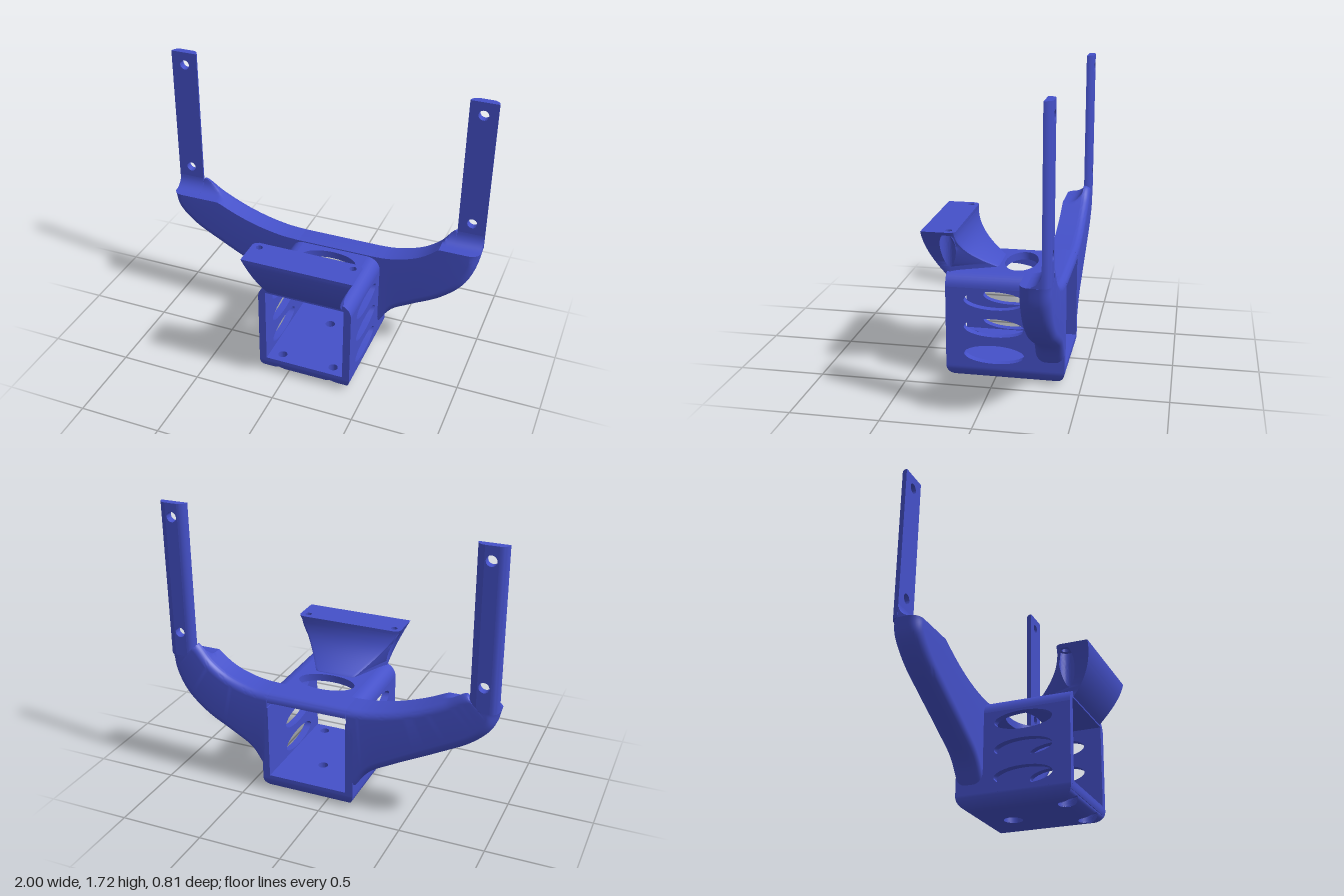
import * as THREE from 'three';
import { toCreasedNormals } from 'three/addons/utils/BufferGeometryUtils.js';

const V2 = (x, y) => new THREE.Vector2(x, y);
const V3 = (x, y, z) => new THREE.Vector3(x, y, z);
const CX = 0.115; // centre line of the box, slightly off the centre of the arms
const HALF = 0.29, BACK = -0.405, FRONT = 0.28;

const arc = (cx, cy, r, a0, a1, n = 8) => Array.from({ length: n + 1 }, (_, i) => {
  const a = a0 + (a1 - a0) * i / n;
  return V2(cx + r * Math.cos(a), cy + r * Math.sin(a));
});
const circle = (x, y, r) => arc(x, y, r, 0, Math.PI * 2, 28).slice(0, -1);
const range = (a, b, n) => Array.from({ length: n + 1 }, (_, i) => a + (b - a) * i / n);

// Skin over rings of equal length, ordered upwards, with caps and vertical round holes
function loft(rings, holes = []) {
  const flat = r => r.map(p => V2(p.x, p.z));
  if (THREE.ShapeUtils.isClockWise(flat(rings.at(-1)))) rings = rings.map(r => [...r].reverse());
  const pos = [];
  const tri = (...ps) => ps.forEach(p => pos.push(p.x, p.y, p.z));
  const walls = (lo, hi, inward) => lo.forEach((a, i) => {
    const j = (i + 1) % lo.length, b = lo[j], c = hi[i], d = hi[j];
    if (inward) { tri(a, b, c); tri(b, d, c); } else { tri(a, c, b); tri(b, c, d); }
  });
  for (let k = 0; k < rings.length - 1; k++) walls(rings[k], rings[k + 1], false);
  const y0 = rings[0][0].y, y1 = rings.at(-1)[0].y;
  const at = (h, y) => h.map(p => V3(p.x, y, p.y));
  holes.forEach(h => walls(at(h, y0), at(h, y1), true));
  [[rings[0], y0, -1], [rings.at(-1), y1, 1]].forEach(([ring, y, dir]) => {
    const pts = [...ring, ...holes.flatMap(h => at(h, y))];
    THREE.ShapeUtils.triangulateShape(flat(ring), holes).forEach(([i, j, k]) => {
      const a = pts[i], b = pts[j], c = pts[k];
      const up = (b.z - a.z) * (c.x - a.x) - (b.x - a.x) * (c.z - a.z);
      if (up * dir > 0) tri(a, b, c); else tri(a, c, b);
    });
  });
  const g = new THREE.BufferGeometry();
  g.setAttribute('position', new THREE.Float32BufferAttribute(pos, 3));
  return toCreasedNormals(g, 0.6);
}

// Extrusions along z, along x (outline in z,y) and along y (outline in x,z)
function extrude(pts, holes, depth) {
  const s = new THREE.Shape(pts);
  s.holes = holes.map(h => new THREE.Path(h));
  return toCreasedNormals(new THREE.ExtrudeGeometry(s, { depth, bevelEnabled: false }), 0.6);
}
const alongZ = (pts, holes, z0, z1) => extrude(pts, holes, z1 - z0).translate(0, 0, z0);
const alongX = (pts, holes, x0, x1) => extrude(pts, holes, x1 - x0).rotateY(-Math.PI / 2).translate(x1, 0, 0);
const alongY = (pts, holes, y0, y1) => extrude(pts, holes, y1 - y0).rotateX(Math.PI / 2).translate(0, y1, 0);
const rect = (x0, y0, x1, y1) => [V2(x0, y0), V2(x1, y0), V2(x1, y1), V2(x0, y1)];
const ellipse = (x, y, rx, ry) => circle(0, 0, 1).map(p => V2(x + p.x * rx, y + p.y * ry));

// Floor outline at height y: edges curl in below, screw recesses break the front edge
function floorRing(y, recessed) {
  const r = 0.08, t = Math.max(0, r - y), d = r - Math.sqrt(r * r - t * t);
  const x0 = CX - HALF + d, x1 = CX + HALF - d, z0 = BACK + d, z1 = FRONT - d;
  const pts = [V2(x1, z0), V2(x0, z0), V2(x0, z1)];
  if (recessed) {
    const a = Math.asin(Math.max(-1, Math.min(1, (z1 - 0.215) / 0.055)));
    [-1, 1].forEach(s => pts.push(...arc(CX + s * 0.165, 0.215, 0.055, Math.PI - a, Math.PI * 2 + a, 20)));
  }
  pts.push(V2(x1, z1));
  return pts.map(p => V3(p.x, y, p.y));
}

// Flared bracket outline at height y, with side recesses below the screw holes
function bracketRing(y, recessed) {
  const s = (y - 0.6) / 0.285, q = Math.max(0, (y - 0.635) / 0.25);
  const w = 0.23 + 0.105 * s ** 1.5;
  const f = 0.28 + 0.125 * (1 - (1 - s) ** 2);
  const b = 0.21 * (1 - (1 - q) ** 2.2);
  const wb = w - 0.5 * Math.max(0, 0.2 - b);
  const side = [V2(w, f)];
  if (recessed) {
    const a = Math.acos(Math.max(-1, Math.min(1, (w - 0.285) / 0.045)));
    side.push(...arc(0.285, 0.262, 0.045, a, Math.PI * 2 - a, 20));
  }
  side.push(V2(wb, b + 0.03), V2(wb - 0.01, b + 0.01), V2(wb - 0.03, b));
  const other = side.map(p => V2(-p.x, p.y)).reverse();
  return [...side, ...other].map(p => V3(CX + p.x, y, p.y));
}

// Arm swept between an upper and a lower edge curve, scooped out in front of the post
function armGeometry(upper, lower) {
  const curve = pts => new THREE.CatmullRomCurve3(pts.map(([x, y]) => V3(x, y, 0)));
  const U = curve(upper), L = curve(lower), PI = Math.PI;
  const scoop = z => z < -0.361 ? 9 : z > -0.28 ? 0.79
    : 0.87 - Math.sqrt(Math.max(0, 0.0064 - (z + 0.28) ** 2));
  const rings = range(1, 0, 40).map(t => {
    const u = U.getPoint(t), l = L.getPoint(t), d = u.distanceTo(l);
    const section = [
      ...range(-0.24, -0.355, 12).map(z => V2(0, z)),
      ...arc(0.045, -0.36, 0.045, PI, PI * 1.5),
      ...arc(d - 0.06, -0.345, 0.06, PI * 1.5, PI * 2),
      ...arc(d - 0.06, -0.3, 0.06, 0, PI / 2),
    ];
    return section.map(p => {
      const v = u.clone().lerp(l, p.x / d);
      return V3(v.x, Math.min(v.y, scoop(p.y)), p.y);
    });
  });
  return loft(rings);
}

export function createModel() {
  const model = new THREE.Group();
  const material = new THREE.MeshStandardMaterial({ color: 0x4450c8, side: THREE.DoubleSide });
  const add = (name, geometry) => {
    const m = new THREE.Mesh(geometry, material);
    m.name = name;
    model.add(m);
  };
  const PI = Math.PI;

  // Box floor with three recessed screw holes
  add('floorUnderside', loft(range(0, 0.05, 8).map(y => floorRing(y, true)), [circle(CX, -0.175, 0.055)]));
  add('floor', loft(range(0.05, 0.1, 6).map(y => floorRing(y, false)),
    [circle(CX, -0.175, 0.03), circle(CX - 0.165, 0.215, 0.028), circle(CX + 0.165, 0.215, 0.028)]));

  // Box walls with oval vents, and rounded upper corners
  const vents = [0.16, 0.322, 0.485].map(y => ellipse(0, y, 0.175, 0.055));
  for (const s of [-1, 1]) {
    const label = s > 0 ? 'left' : 'right';
    const xs = [CX + s * 0.245, CX + s * HALF].sort((a, b) => a - b);
    add(label + 'Wall', alongX(rect(BACK, 0.08, FRONT, 0.555), vents, xs[0], xs[1]));
    const corner = [...arc(0.21, 0.555, 0.08, 0, PI / 2), V2(0.21, 0.59), V2(0.245, 0.59), V2(0.245, 0.555)];
    add(label + 'TopCorner', alongZ(corner.map(p => V2(CX + s * p.x, p.y)), [], -0.35, FRONT));
  }
  add('roof', alongY(rect(CX - 0.21, -0.35, CX + 0.21, FRONT), [ellipse(CX, -0.11, 0.175, 0.095)], 0.59, 0.635));

  // Band joining the arms over the back of the roof
  add('backBand', alongX([V2(-0.24, 0.59), V2(-0.24, 0.642),
    ...arc(-0.36, 0.597, 0.045, PI / 2, PI), V2(BACK, 0.59)], [], CX - 0.245, CX + 0.245));

  // Swept arms
  add('rightArm', armGeometry(
    [[-0.84, 0.79], [-0.825, 0.87], [-0.7, 0.8], [-0.55, 0.73], [-0.4, 0.68], [-0.25, 0.65], [-0.13, 0.642]],
    [[-1, 0.79], [-0.97, 0.69], [-0.87, 0.585], [-0.67, 0.47], [-0.41, 0.335], [-0.26, 0.245], [-0.17, 0.13]]));
  add('leftArm', armGeometry(
    [[0.84, 0.79], [0.825, 0.87], [0.74, 0.775], [0.65, 0.71], [0.55, 0.67], [0.45, 0.648], [0.36, 0.642]],
    [[1, 0.79], [0.975, 0.67], [0.91, 0.54], [0.78, 0.42], [0.61, 0.325], [0.48, 0.245], [0.4, 0.13]]));

  // Upright posts: drilled strip, rounded rear edges and a concave foot
  for (const s of [-1, 1]) {
    const label = s > 0 ? 'left' : 'right';
    const holes = [0.94, 1.64].map(y => circle(s * 0.917, y, 0.03));
    add(label + 'Post', alongZ(rect(s * 0.88, 0.79, s * 0.955, 1.72), holes, BACK, -0.36));
    const edges = [[0.955, PI * 1.5, PI * 2], [0.88, PI, PI * 1.5]];
    edges.forEach(([x, a0, a1]) => {
      const pts = [V2(x, -0.36), ...arc(x, -0.36, 0.045, a0, a1)];
      add(label + 'PostEdge', alongY(pts.map(p => V2(s * p.x, p.y)), [], 0.79, 1.72));
    });
    const foot = [V2(-0.37, 0.79), ...arc(-0.28, 0.87, 0.08, PI * 1.5, PI), V2(-0.37, 0.87)];
    const xs = [s * 0.835, s * 0.998].sort((a, b) => a - b);
    add(label + 'PostFoot', alongX(foot, [], xs[0], xs[1]));
  }

  // Flared bracket and its drilled top plate
  add('bracket', loft(range(0.6, 0.865, 28).map(y => bracketRing(y, true))));
  add('bracketPlate', loft([0.865, 0.885].map(y => bracketRing(y, false)),
    [-1, 1].map(s => circle(CX + s * 0.285, 0.255, 0.02))));
  return model;
}
